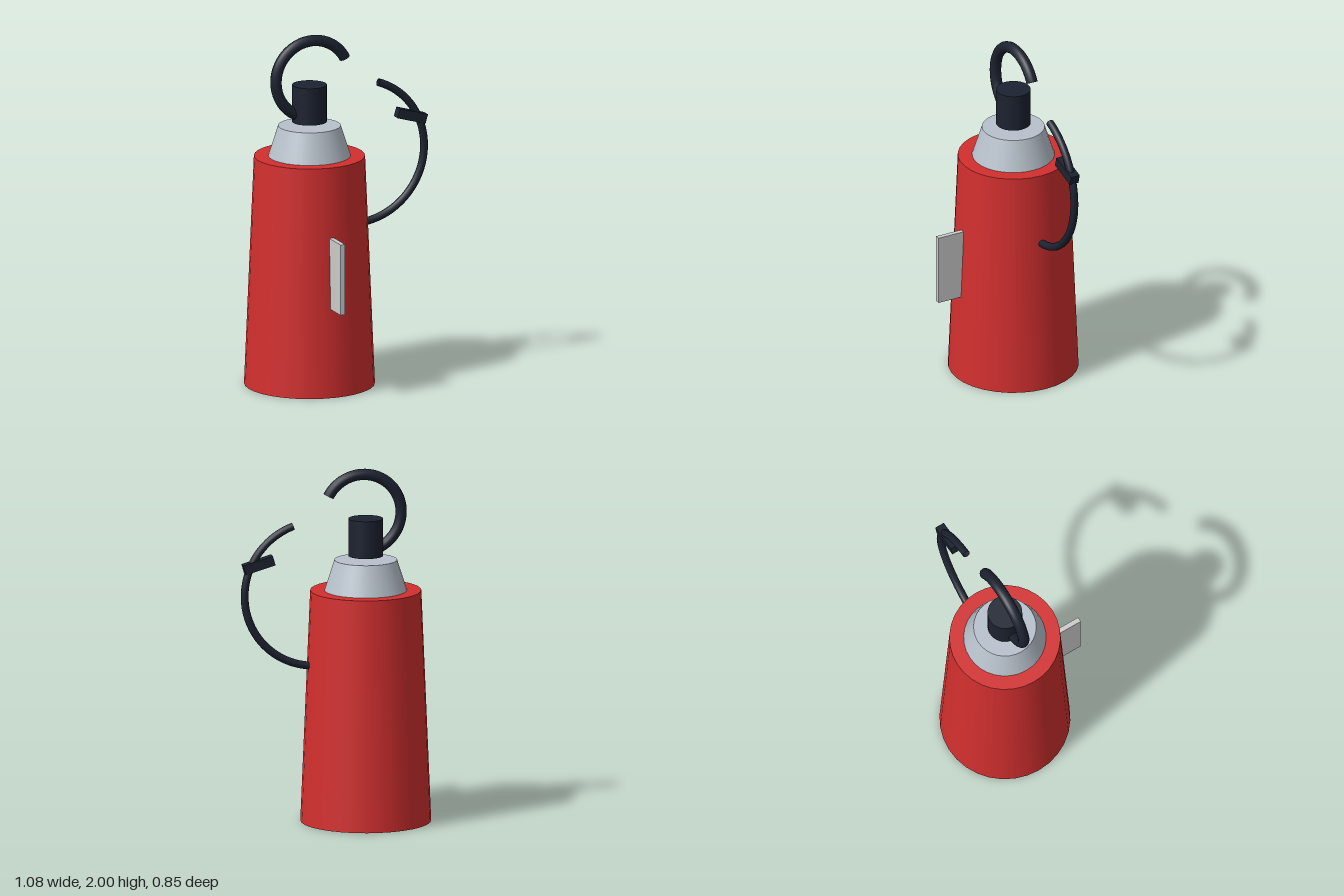
import * as THREE from 'three';

const AXIS_X = -0.175, AXIS_Z = -0.06;

const paint = (color) => new THREE.MeshStandardMaterial({ color });

export function createModel() {
  const model = new THREE.Group();
  const red = paint(0xd32f2f), steel = paint(0xb8c2cc), black = paint(0x1c2230), white = paint(0xe8e8e8);

  const add = (name, geometry, material, x, y, z = AXIS_Z) => {
    const mesh = new THREE.Mesh(geometry, material);
    mesh.name = name;
    mesh.position.set(x, y, z);
    model.add(mesh);
    return mesh;
  };

  // Upright round part standing between two heights on the main axis
  const round = (name, rTop, rBottom, y0, y1, material) =>
    add(name, new THREE.CylinderGeometry(rTop, rBottom, y1 - y0, 32), material, AXIS_X, (y0 + y1) / 2);

  // Open ring in the XY plane, from one angle to another (degrees)
  const arc = (name, radius, tube, from, to, x, y) => {
    const geometry = new THREE.TorusGeometry(radius, tube, 12, 48, THREE.MathUtils.degToRad(to - from));
    geometry.rotateZ(THREE.MathUtils.degToRad(from));
    const mesh = add(name, geometry, black, x, y);
    mesh.material = black.clone();
    mesh.material.side = THREE.DoubleSide;
    return mesh;
  };

  // Tapered tank, shoulder and valve
  round('tank', 0.31, 0.365, 0, 1.31, red);
  round('shoulder', 0.175, 0.23, 1.31, 1.483, steel);
  round('valve', 0.097, 0.097, 1.505, 1.717, black);

  // Carrying handle and hose
  arc('handle', 0.22, 0.032, 28, 270, -0.157, 1.748);
  arc('hose', 0.41, 0.022, -90, 71, 0.106, 1.302);

  // Nozzle block across the hose
  const nozzle = add('nozzle', new THREE.BoxGeometry(0.175, 0.055, 0.055), black, 0.437, 1.48);
  nozzle.rotation.z = -0.28;

  // Plate standing out of the tank's front
  add('plate', new THREE.BoxGeometry(0.028, 0.405, 0.185), white, AXIS_X, 0.708, 0.333);

  return model;
}
